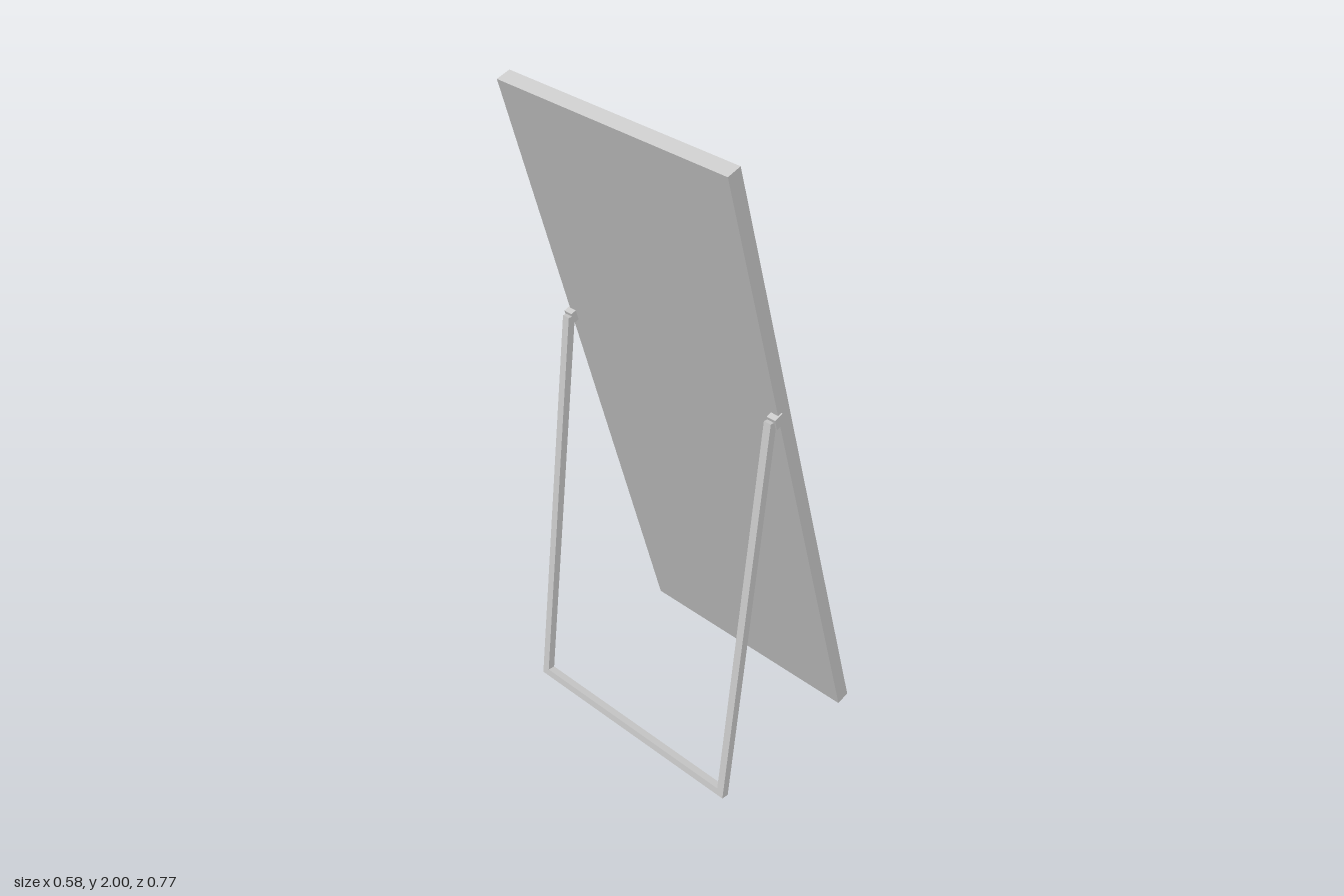
import * as THREE from 'three';

const grey = new THREE.MeshStandardMaterial({ color: 0xcccccc });
const glass = new THREE.MeshStandardMaterial({ color: 0x9de2e8 });

function box(name, w, h, d, x, y, z, material = grey) {
  const mesh = new THREE.Mesh(new THREE.BoxGeometry(w, h, d), material);
  mesh.name = name;
  mesh.position.set(x, y, z);
  return mesh;
}

function rectangle(target, w, h) {
  target.moveTo(-w / 2, -h / 2);
  target.lineTo(w / 2, -h / 2);
  target.lineTo(w / 2, h / 2);
  target.lineTo(-w / 2, h / 2);
  target.closePath();
  return target;
}

export function createModel() {
  const model = new THREE.Group();
  model.name = 'standingMirror';

  // Leaning panel, local +x is its front
  const length = 2.059, width = 0.756, thick = 0.043, border = 0.052;
  const panel = new THREE.Group();
  panel.name = 'mirrorPanel';
  panel.position.y = 1;
  panel.rotation.z = 0.265;

  // Frame with a rectangular opening
  const outline = rectangle(new THREE.Shape(), width, length);
  outline.holes.push(rectangle(new THREE.Path(), width - 2 * border, length - 2 * border));
  const frameGeometry = new THREE.ExtrudeGeometry(outline, { depth: thick, bevelEnabled: false });
  frameGeometry.translate(0, 0, -thick / 2).rotateY(Math.PI / 2);
  const frame = new THREE.Mesh(frameGeometry, grey);
  frame.name = 'frame';
  panel.add(frame);

  // Back board and recessed glass inside the opening
  const innerW = width - 2 * border, innerL = length - 2 * border;
  panel.add(box('backBoard', 0.005, innerL, innerW, -thick / 2 + 0.0025, 0, 0));
  panel.add(box('mirrorGlass', 0.004, innerL, innerW, -thick / 2 + 0.007, 0, 0, glass));
  model.add(panel);

  // U-shaped support behind the panel
  const bar = 0.023, legLength = 1.245;
  const stand = new THREE.Group();
  stand.name = 'stand';
  stand.position.set(-0.266, 0.0015, 0);
  stand.rotation.z = -0.129;
  for (const side of [-1, 1]) {
    const z = side * (width / 2 - bar / 2);
    stand.add(box('standLeg', bar, legLength, bar, 0, legLength / 2, z));

    // Hinge block joining the leg to the frame edge
    const hinge = box('hinge', 0.03, 0.034, bar + 0.005, -0.088, 1.233, z + side * 0.0025);
    hinge.rotation.z = 0.265;
    model.add(hinge);
  }
  stand.add(box('standFoot', bar, bar, width - 2 * bar, 0, bar / 2, 0));
  model.add(stand);

  return model;
}
